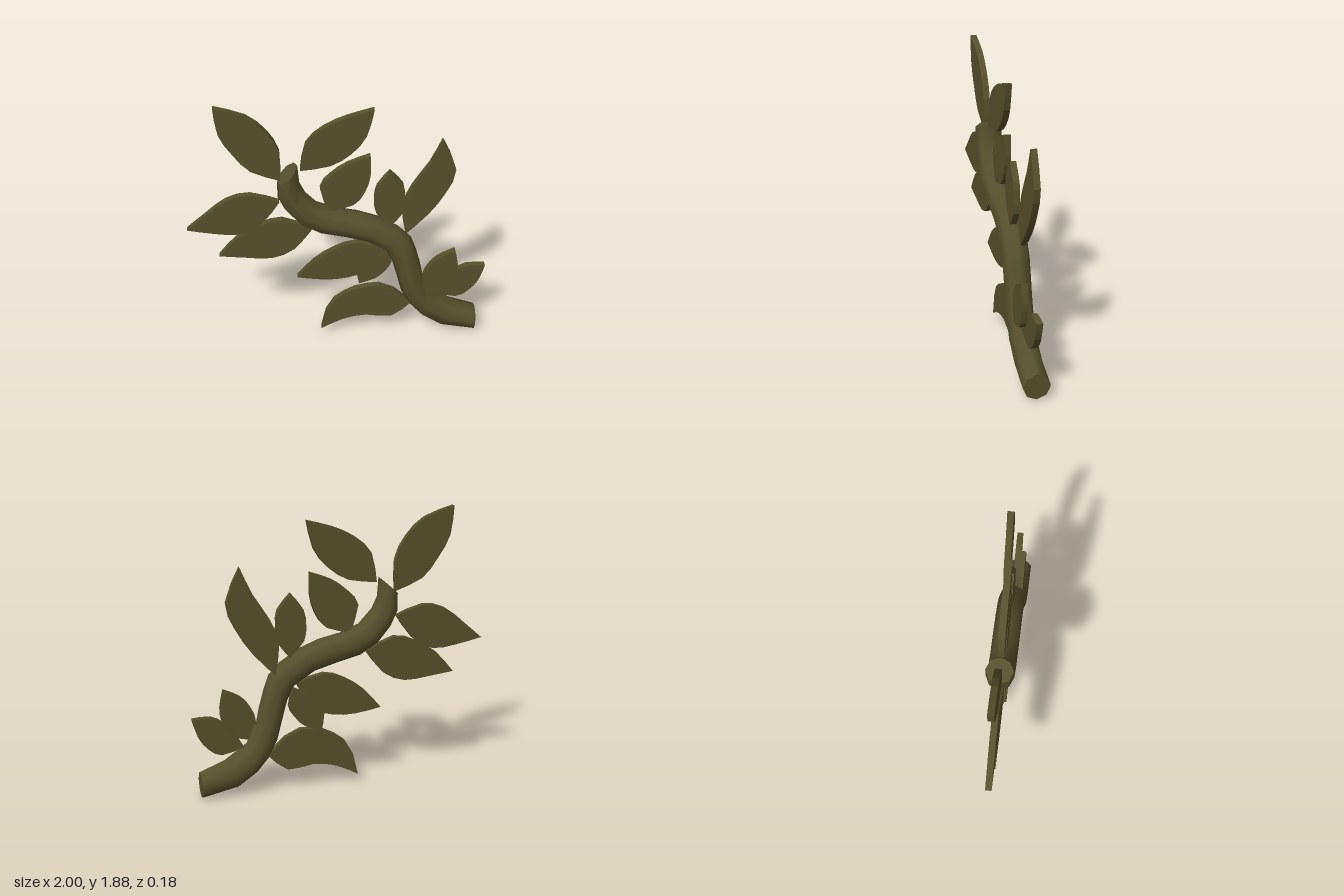
import * as THREE from 'three';

const olive = new THREE.MeshStandardMaterial({ color: 0x57502d });
olive.name = 'olive';

const SIDES = 8;
const STEM_HALF_DEPTH = 0.09;
const LEAF_DEPTH = 0.042;

// Stem cross-sections: upper edge point and lower edge point (x, y, x, y)
const STEM = [
  [0.955, 0.185, 0.95, 0.005], [0.79, 0.255, 0.70, 0.055], [0.64, 0.36, 0.57, 0.145],
  [0.573, 0.50, 0.49, 0.24], [0.55, 0.61, 0.43, 0.36], [0.52, 0.72, 0.395, 0.50],
  [0.485, 0.82, 0.36, 0.63], [0.41, 0.90, 0.31, 0.73], [0.28, 0.985, 0.17, 0.82],
  [0.14, 1.04, 0.01, 0.866], [0, 1.07, -0.145, 0.905], [-0.13, 1.123, -0.267, 0.98],
  [-0.22, 1.22, -0.353, 1.087], [-0.257, 1.30, -0.40, 1.19], [-0.268, 1.43, -0.40, 1.31],
];

// Eight-sided ring spanning the two edge points
function ring([ux, uy, lx, ly]) {
  return Array.from({ length: SIDES }, (_, i) => {
    const angle = (i / SIDES) * Math.PI * 2;
    const c = Math.cos(angle) / 2;
    return [
      (ux + lx) / 2 + (ux - lx) * c,
      (uy + ly) / 2 + (uy - ly) * c,
      Math.sin(angle) * STEM_HALF_DEPTH,
    ];
  });
}

function stemGeometry() {
  const rings = STEM.map(ring);
  const positions = rings.flat(2);
  const index = [];
  for (let r = 0; r < rings.length - 1; r++) {
    for (let i = 0; i < SIDES; i++) {
      const a = r * SIDES + i;
      const b = r * SIDES + ((i + 1) % SIDES);
      index.push(a, a + SIDES, b, b, a + SIDES, b + SIDES);
    }
  }
  // Flat end caps with their own vertices, so their edges stay sharp
  for (const cap of [rings[0], rings[rings.length - 1].toReversed()]) {
    const start = positions.length / 3;
    positions.push(...cap.flat());
    for (let i = 1; i < SIDES - 1; i++) index.push(start, start + i, start + i + 1);
  }
  const geometry = new THREE.BufferGeometry();
  geometry.setAttribute('position', new THREE.Float32BufferAttribute(positions, 3));
  geometry.setIndex(index);
  geometry.computeVertexNormals();
  return geometry;
}

// Flat leaf from base to tip; left and right list the half-widths
// at even steps along the midrib, as seen looking from base to tip
function leaf(name, base, tip, left, right, z = 0) {
  const from = new THREE.Vector2(...base);
  const to = new THREE.Vector2(...tip);
  const along = to.clone().sub(from).normalize();
  const across = new THREE.Vector2(-along.y, along.x);
  const edge = (widths, sign) => {
    const inner = widths.map((w, i) => from.clone()
      .lerp(to, (i + 1) / (widths.length + 1))
      .addScaledVector(across, sign * w));
    return new THREE.SplineCurve([from, ...inner, to]).getPoints(8);
  };
  const outline = [...edge(left, 1), ...edge(right, -1).slice(1, -1).reverse()];
  const geometry = new THREE.ExtrudeGeometry(new THREE.Shape(outline), {
    depth: LEAF_DEPTH, bevelEnabled: false,
  });
  const mesh = new THREE.Mesh(geometry, olive);
  mesh.name = name;
  mesh.position.z = z - LEAF_DEPTH / 2;
  return mesh;
}

export function createModel() {
  const model = new THREE.Group();
  model.name = 'leafyBranch';

  const stem = new THREE.Mesh(stemGeometry(), olive);
  stem.name = 'stem';
  model.add(stem);

  // Leaves around the top of the stem
  model.add(
    leaf('topLeftLeaf', [-0.38, 1.33], [-0.78, 1.88], [0.105, 0.115, 0.095], [0.125, 0.153, 0.12]),
    leaf('topRightLeaf', [-0.25, 1.40], [0.22, 1.83], [0.12, 0.128, 0.08], [0.11, 0.138, 0.108]),
    leaf('upperInnerLeaf', [-0.07, 1.07], [0.20, 1.49], [0.145, 0.14, 0.092], [0.113, 0.122, 0.083]),
    leaf('farLeftLeaf', [-0.39, 1.16], [-1, 0.965], [0.12, 0.155, 0.09], [0.118, 0.132, 0.07]),
    leaf('middleLeftLeaf', [-0.18, 0.93], [-0.80, 0.74], [0.115, 0.135, 0.072], [0.14, 0.146, 0.103]),
  );

  // Leaves along the middle
  model.add(
    leaf('smallUpperLeaf', [0.34, 0.93], [0.33, 1.36], [0.092, 0.105, 0.085], [0.088, 0.095, 0.086]),
    leaf('tallRightLeaf', [0.45, 0.83], [0.67, 1.56], [0.087, 0.078, 0.025], [0.095, 0.15, 0.155], -0.04),
    leaf('lowerLeftLeaf', [0.30, 0.75], [-0.285, 0.53], [0.13, 0.14, 0.09], [0.115, 0.122, 0.083]),
    leaf('smallLowerLeaf', [0.33, 0.73], [0.14, 0.42], [0.092, 0.098, 0.075], [0.055, 0.084, 0.078], -0.04),
  );

  // Leaves near the foot; the bottom one curls downward
  model.add(
    leaf('lowerRightFrontLeaf', [0.60, 0.37], [0.78, 0.73], [0.085, 0.1, 0.075], [0.112, 0.113, 0.078], 0.04),
    leaf('lowerRightOuterLeaf', [0.66, 0.34], [1, 0.56], [0.05, 0.078, 0.07], [0.115, 0.123, 0.085]),
    leaf('bottomLeaf', [0.50, 0.26], [-0.125, 0.06], [0.067, -0.008, -0.028], [0.19, 0.24, 0.255, 0.232, 0.175]),
  );
  return model;
}
